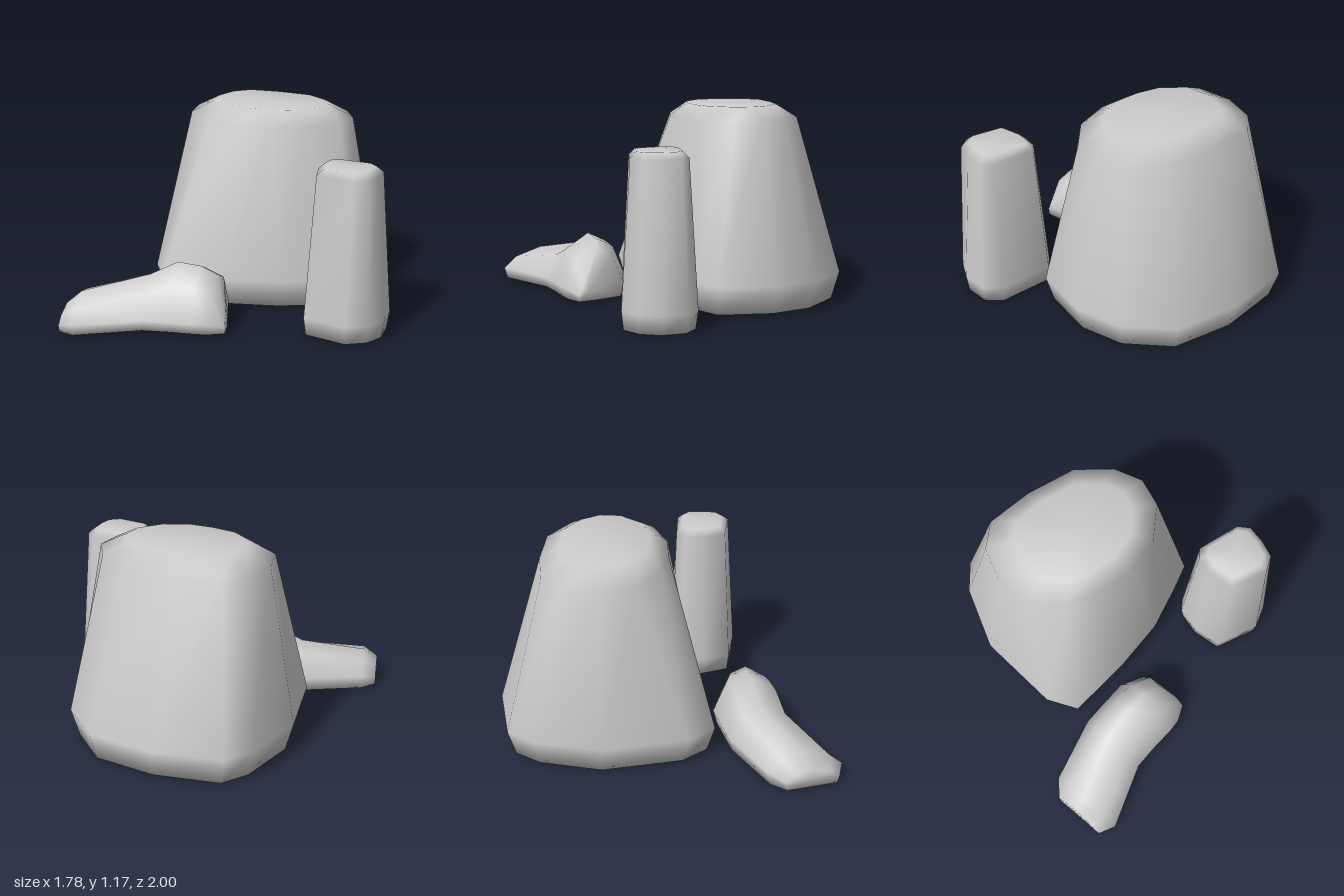
import * as THREE from 'three';

// Closed smooth skin over a stack of rings, each an array of [x, y, z]
function loft(name, rings) {
  const n = rings[0].length;
  const pos = [];
  const index = [];
  rings.forEach((r) => r.forEach((p) => pos.push(...p)));
  for (let j = 0; j < rings.length - 1; j++) {
    for (let i = 0; i < n; i++) {
      const k = (i + 1) % n;
      const a = j * n + i, b = j * n + k, c = a + n, d = b + n;
      index.push(a, c, b, b, c, d);
    }
  }
  // End caps fanned from the ring centres
  [0, rings.length - 1].forEach((j) => {
    const centre = [0, 1, 2].map((t) => rings[j].reduce((s, p) => s + p[t], 0) / n);
    const c = pos.length / 3;
    pos.push(...centre);
    for (let i = 0; i < n; i++) {
      const a = j * n + i, b = j * n + ((i + 1) % n);
      if (j === 0) index.push(c, a, b);
      else index.push(c, b, a);
    }
  });
  const geo = new THREE.BufferGeometry();
  geo.setAttribute('position', new THREE.Float32BufferAttribute(pos, 3));
  geo.setIndex(index);
  geo.computeVertexNormals();
  const mesh = new THREE.Mesh(geo, new THREE.MeshStandardMaterial({ color: 0xcccccc }));
  mesh.name = name;
  return mesh;
}

// Horizontal ring from an [x, z] outline, shrunk by s about (cx, cz)
const ring = (outline, y, s = 1, cx = 0, cz = 0) =>
  outline.map(([x, z]) => [cx + (x - cx) * s, y, cz + (z - cz) * s]);

// Upright stone: chamfered foot, tapering sides, rounded crown
function standingStone(name, foot, rim, o) {
  return loft(name, [
    ring(foot, o.base, o.footScale, o.cx, o.cz),
    ring(foot, o.footY, 1),
    ring(rim, o.rimY, 1),
    ring(rim, o.topY, o.topScale, o.tx, o.tz),
  ]);
}

// Cross-section of the lying stone between a back and a front ground edge
function slice([bx, bz, fx, fz, h]) {
  const at = (t, y) => [bx + (fx - bx) * t, y, bz + (fz - bz) * t];
  const low = Math.min(0.1, h * 0.55);
  return [
    at(0.2, h * 0.86), at(0, low), at(0.05, 0.015),
    at(0.96, 0.015), at(1, low * 0.8), at(0.82, h * 0.75), at(0.46, h),
  ];
}

export function createModel() {
  const model = new THREE.Group();
  model.name = 'rockGroup';

  // Large boulder
  model.add(standingStone('largeBoulder',
    [[-0.77, -0.36], [-0.7, -0.75], [-0.6, -0.91], [-0.2, -1], [0.2, -0.97], [0.45, -0.76], [0.56, -0.5],
      [0.55, -0.16], [0.4, -0.06], [0.17, 0.08], [-0.15, 0.19], [-0.52, 0.28], [-0.65, 0.13]],
    [[-0.61, -0.36], [-0.58, -0.56], [-0.47, -0.69], [-0.2, -0.73], [0.1, -0.72], [0.3, -0.6], [0.4, -0.45],
      [0.39, -0.28], [0.25, -0.1], [0.04, -0.01], [-0.15, 0], [-0.36, -0.03], [-0.55, -0.16]],
    { base: 0.015, footY: 0.18, footScale: 0.93, cx: -0.1, cz: -0.36,
      rimY: 1.1, topY: 1.175, topScale: 0.7, tx: -0.1, tz: -0.34 }));

  // Slim upright pillar
  model.add(standingStone('pillarStone',
    [[0.385, 0.06], [0.43, 0], [0.76, -0.02], [0.86, 0.05], [0.885, 0.2],
      [0.84, 0.32], [0.73, 0.4], [0.46, 0.37], [0.39, 0.2]],
    [[0.455, 0.08], [0.49, 0.03], [0.75, 0.03], [0.81, 0.08], [0.82, 0.19],
      [0.81, 0.29], [0.74, 0.35], [0.51, 0.33], [0.455, 0.18]],
    { base: 0.005, footY: 0.11, footScale: 0.94, cx: 0.6, cz: 0.2,
      rimY: 0.945, topY: 0.98, topScale: 0.78, tx: 0.63, tz: 0.18 }));

  // Low bent stone, sliced from its left tip to its right end: back x, z, front x, z, height
  model.add(loft('lowStone', [
    [-0.895, 0.67, -0.8, 0.98, 0.13],
    [-0.84, 0.57, -0.7, 1, 0.2],
    [-0.5, 0.36, -0.38, 0.76, 0.285],
    [-0.34, 0.31, -0.22, 0.71, 0.37],
    [-0.2, 0.27, -0.1, 0.68, 0.355],
    [-0.06, 0.3, -0.02, 0.65, 0.32],
    [0.02, 0.46, 0.06, 0.58, 0.13],
  ].map(slice)));

  return model;
}
